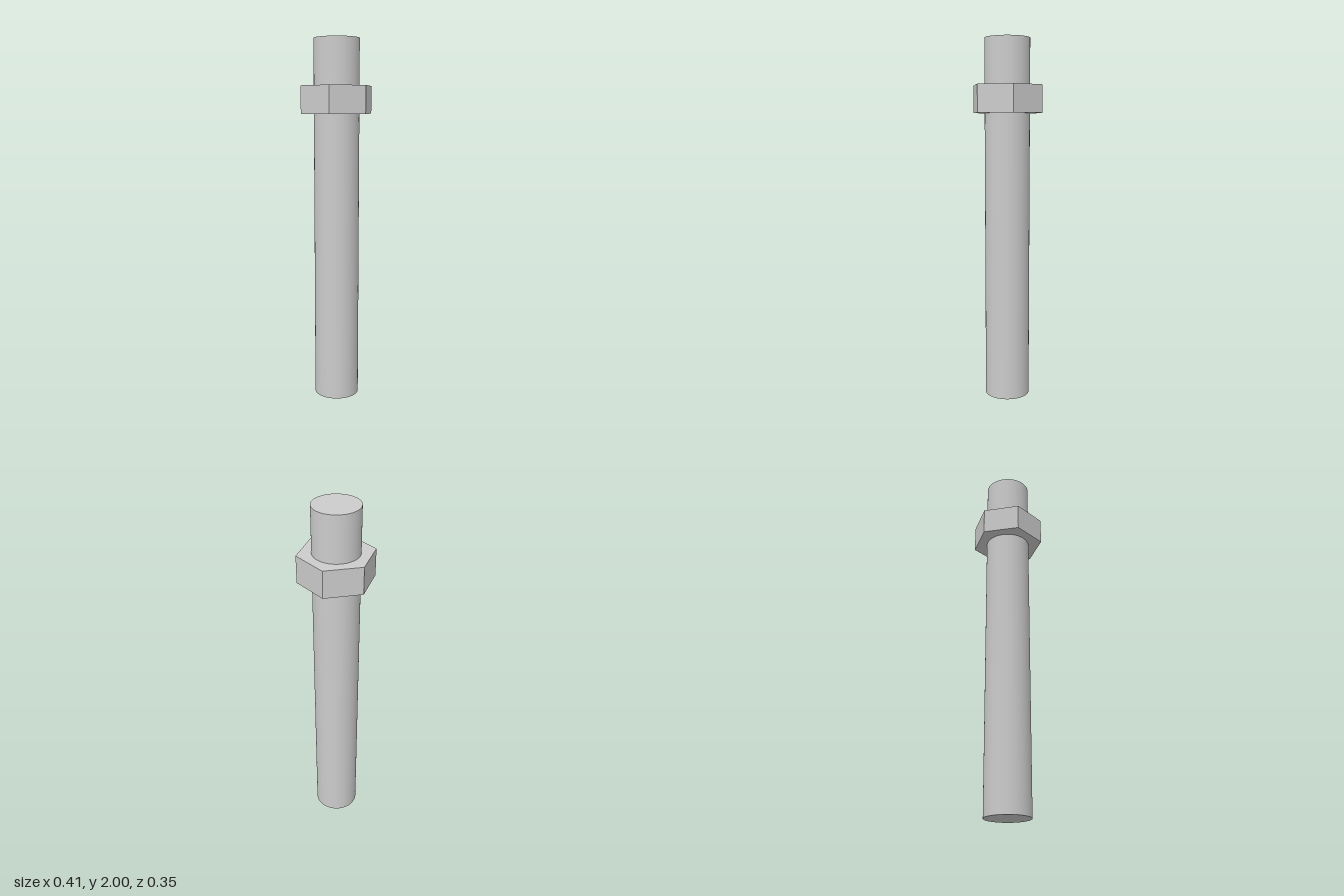
import * as THREE from 'three';

const ROD_RADIUS = 0.124;
const NUT_RADIUS = 0.203; // centre to corner
const NUT_BOTTOM = 1.6;
const NUT_HEIGHT = 0.15;

export function createModel() {
  const model = new THREE.Group();
  model.name = 'threadedRodWithNut';
  const material = new THREE.MeshStandardMaterial({ color: 0xcccccc });

  // Smooth round rod, full height
  const rod = new THREE.Mesh(new THREE.CylinderGeometry(ROD_RADIUS, ROD_RADIUS, 2, 64), material);
  rod.name = 'rod';
  rod.position.y = 1;
  model.add(rod);

  // Hexagonal nut with corners on the x axis and a bore hugging the rod
  const corners = [];
  for (let i = 0; i < 6; i++) {
    const a = (i * Math.PI) / 3;
    corners.push(new THREE.Vector2(NUT_RADIUS * Math.cos(a), NUT_RADIUS * Math.sin(a)));
  }
  const hexagon = new THREE.Shape(corners);
  hexagon.holes.push(new THREE.Path().absarc(0, 0, ROD_RADIUS - 0.001, 0, Math.PI * 2, true));
  const nutGeometry = new THREE.ExtrudeGeometry(hexagon, {
    depth: NUT_HEIGHT, bevelEnabled: false, curveSegments: 64,
  });
  nutGeometry.rotateX(-Math.PI / 2);
  const nut = new THREE.Mesh(nutGeometry, material);
  nut.name = 'hexNut';
  nut.position.y = NUT_BOTTOM;
  model.add(nut);

  return model;
}
